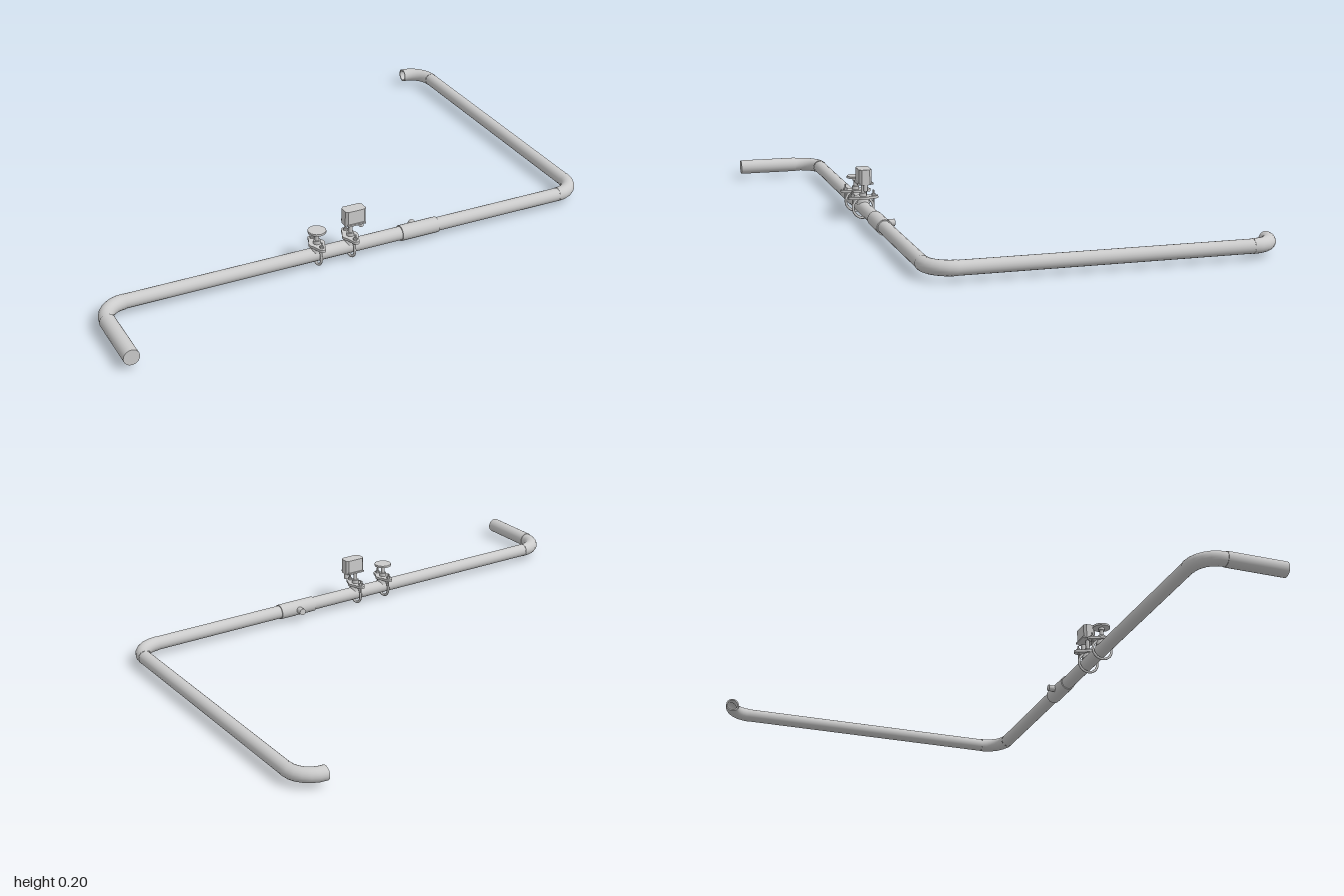
import * as THREE from 'three';

const Y = 0.044, Z = 0.459, X = 0.97, ZB = -0.762, BEND = 0.092;
const gray = new THREE.MeshStandardMaterial({ color: 0xcccccc });
const thin = new THREE.MeshStandardMaterial({ color: 0xcccccc, side: THREE.DoubleSide });
const facet = new THREE.MeshStandardMaterial({ color: 0xcccccc, flatShading: true });

function add(parent, name, geometry, x = 0, y = 0, z = 0, material = gray) {
  const mesh = new THREE.Mesh(geometry, material);
  mesh.name = name;
  mesh.position.set(x, y, z);
  parent.add(mesh);
  return mesh;
}
const cyl = (r, h, sides = 16) => new THREE.CylinderGeometry(r, r, h, sides);

// Straight pipe between two points on the pipe centre plane
function pipe(parent, name, r, x0, z0, x1, z1) {
  const a = new THREE.Vector3(x0, Y, z0), b = new THREE.Vector3(x1, Y, z1);
  const mesh = add(parent, name, cyl(r, a.distanceTo(b), 20));
  mesh.position.copy(a).lerp(b, 0.5);
  mesh.quaternion.setFromUnitVectors(new THREE.Vector3(0, 1, 0), b.sub(a).normalize());
  return mesh;
}

// Quarter bend around a vertical axis at (cx, cz), starting at the given angle
function elbow(parent, name, cx, cz, start, r = 0.0265) {
  const mesh = add(parent, name, new THREE.TorusGeometry(BEND, r, 20, 6, Math.PI / 2), cx, Y, cz, thin);
  mesh.rotation.set(Math.PI / 2, 0, start);
  return mesh;
}

// Flat oval saddle plate with two bolt ears, long axis along z
function saddlePlate() {
  const s = new THREE.Shape();
  const ear = 0.013, mid = 0.03, off = 0.045;
  s.absarc(0, off, ear, 0.15, Math.PI - 0.15, false);
  s.absarc(0, 0, mid, Math.PI - 0.75, Math.PI + 0.75, false);
  s.absarc(0, -off, ear, Math.PI + 0.15, Math.PI * 2 - 0.15, false);
  s.absarc(0, 0, mid, -0.75, 0.75, false);
  const g = new THREE.ExtrudeGeometry(s, { depth: 0.01, bevelEnabled: false, curveSegments: 6 });
  return g.rotateX(-Math.PI / 2);
}

// Clamp around the pipe with bolts, tapping body and stem
function clamp(parent, name, x, stemTop) {
  const g = new THREE.Group();
  g.name = name;
  g.position.set(x, 0, Z);
  parent.add(g);
  const strap = add(g, 'strap', new THREE.TorusGeometry(0.039, 0.005, 8, 28), 0, Y, 0);
  strap.rotation.y = Math.PI / 2;
  add(g, 'saddlePlate', saddlePlate(), 0, 0.079, 0);
  add(g, 'saddleBody', new THREE.CylinderGeometry(0.02, 0.026, 0.022, 12), 0, 0.07, 0);
  for (const s of [-1, 1]) {
    add(g, 'bolt', cyl(0.0035, 0.055, 8), 0, 0.082, s * 0.04);
    add(g, 'nut', cyl(0.008, 0.008, 6), 0, 0.093, s * 0.04, facet);
  }
  add(g, 'collar', cyl(0.014, 0.014, 12), 0, 0.095, 0);
  add(g, 'stem', cyl(0.008, stemTop - 0.08, 12), 0, (stemTop + 0.08) / 2, 0);
  return g;
}

export function createModel() {
  const root = new THREE.Group();
  root.name = 'pipeline';

  // Straight runs
  pipe(root, 'mainPipe', 0.0255, -X + BEND, Z, X - BEND, Z);
  pipe(root, 'sidePipe', 0.0255, X, Z - BEND, X, ZB + BEND);
  pipe(root, 'inletPipe', 0.029, -X, Z + BEND, -X, 0.785);

  // Bends
  elbow(root, 'inletElbow', -X + BEND, Z + BEND, Math.PI, 0.027);
  elbow(root, 'cornerElbow', X - BEND, Z - BEND, 0);
  elbow(root, 'outletElbow', X - BEND, ZB + BEND, -Math.PI / 2);
  // Visible wall thickness at the open outlet
  const rim = add(root, 'outletRim', new THREE.RingGeometry(0.021, 0.0265, 20), X - BEND, Y, ZB, thin);
  rim.rotation.y = -Math.PI / 2;
  const bore = add(root, 'outletBore', new THREE.CylinderGeometry(0.021, 0.021, 0.03, 20, 1, true), X - BEND + 0.015, Y, ZB, thin);
  bore.rotation.z = Math.PI / 2;

  // Thicker sleeve with a small branch at the back
  pipe(root, 'sleeve', 0.0295, 0.192, Z, 0.345, Z);
  pipe(root, 'branch', 0.013, 0.268, Z, 0.268, 0.405);

  // Hand valve
  const valve = clamp(root, 'handValve', -0.147, 0.135);
  add(valve, 'handwheel', cyl(0.034, 0.008, 12), 0, 0.138, 0, facet);
  add(valve, 'wheelHub', cyl(0.012, 0.012, 12), 0, 0.13, 0);

  // Valve with actuator box
  const motor = clamp(root, 'motorValve', -0.013, 0.14);
  const s = new THREE.Shape();
  const w = 0.041, d = 0.024, c = 0.009;
  s.moveTo(-w + c, -d); s.lineTo(w - c, -d); s.lineTo(w, -d + c); s.lineTo(w, d - c);
  s.lineTo(w - c, d); s.lineTo(-w + c, d); s.lineTo(-w, d - c); s.lineTo(-w, -d + c);
  s.closePath();
  const housing = new THREE.ExtrudeGeometry(s, { depth: 0.058, bevelEnabled: false }).rotateX(-Math.PI / 2);
  add(motor, 'actuatorHousing', housing, 0.012, 0.139, 0);
  add(motor, 'actuatorFlange', new THREE.BoxGeometry(0.07, 0.006, 0.06), 0.012, 0.143, 0);
  add(motor, 'cableGland', cyl(0.009, 0.024, 10), 0.043, 0.128, 0);

  return root;
}
